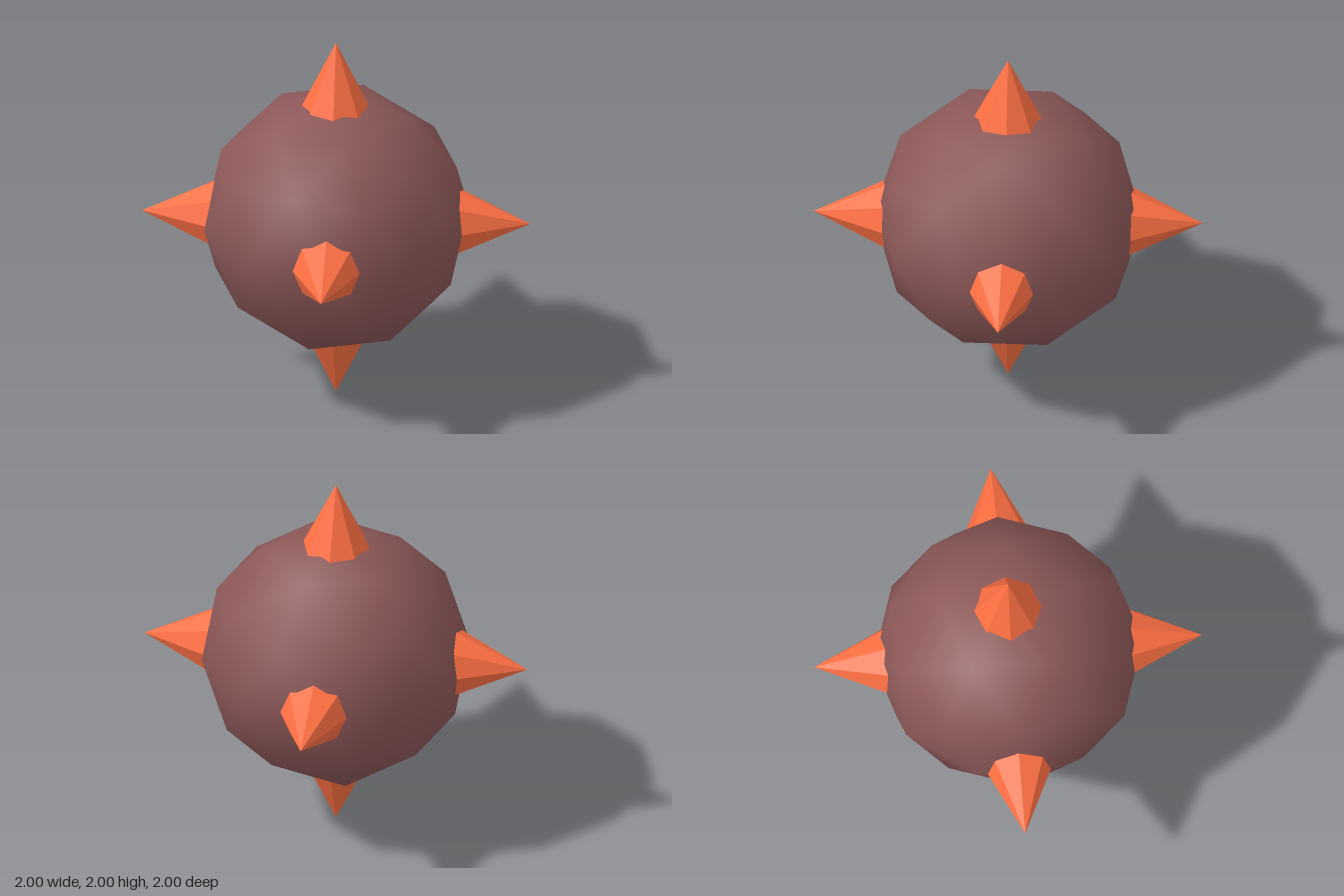
import * as THREE from 'three';

const RADIUS = 0.695;       // ball
const TIP = 1;              // spike tip, from the centre
const SPIKE_LENGTH = 0.48;
const SPIKE_RADIUS = 0.23;

export function createModel() {
  const model = new THREE.Group();
  model.name = 'spikedBall';

  const bodyMaterial = new THREE.MeshStandardMaterial({ color: 0x8d5858 });
  const spikeMaterial = new THREE.MeshStandardMaterial({ color: 0xff7043, flatShading: true });

  // Smooth-shaded low-poly ball, tilted so one icosahedron corner points straight up
  const ball = new THREE.IcosahedronGeometry(RADIUS, 1);
  ball.rotateZ(-Math.atan(2 / (1 + Math.sqrt(5))));
  const body = new THREE.Mesh(ball, bodyMaterial);
  body.name = 'body';
  body.position.y = 1;
  model.add(body);

  // Eight-sided spikes along the six axes, their bases sunk into the ball
  const cone = new THREE.ConeGeometry(SPIKE_RADIUS, SPIKE_LENGTH, 8);
  cone.translate(0, TIP - SPIKE_LENGTH / 2, 0);
  const spikes = {
    topSpike: [0, 0],
    bottomSpike: [Math.PI, 0],
    frontSpike: [Math.PI / 2, 0],
    backSpike: [-Math.PI / 2, 0],
    leftSpike: [0, -Math.PI / 2],
    rightSpike: [0, Math.PI / 2],
  };
  for (const [name, [rx, rz]] of Object.entries(spikes)) {
    const spike = new THREE.Mesh(cone, spikeMaterial);
    spike.name = name;
    spike.position.y = 1;
    spike.rotation.set(rx, 0, rz);
    model.add(spike);
  }

  return model;
}
